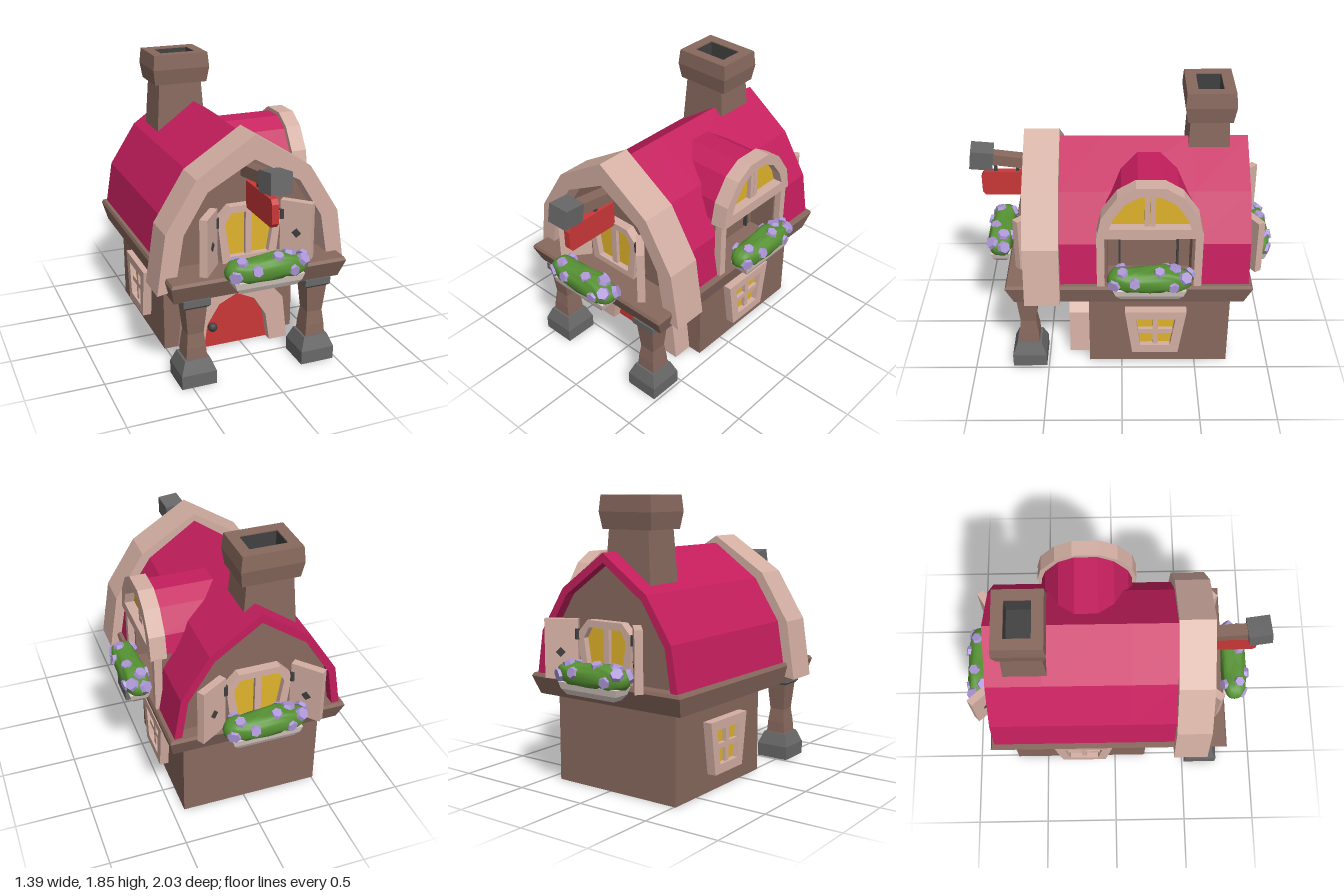
import * as THREE from 'three';

const mat = (name, color) => {
  const m = new THREE.MeshStandardMaterial({ color });
  m.name = name;
  return m;
};

export function createModel() {
  const wood = mat('brown wood', 0x88695e), trim = mat('pale trim', 0xd4afa3), roofPink = mat('roof pink', 0xc41e5d);
  const red = mat('red paint', 0xcb3737), glass = mat('yellow glass', 0xe0b42c), stone = mat('grey stone', 0x686868);
  const leaf = mat('leaf green', 0x579334), petal = mat('petal purple', 0xae98d8);
  const pot = mat('planter cream', 0xdfcfc9), dark = mat('dark iron', 0x414141);

  const model = new THREE.Group();
  model.name = 'cottage';
  const house = new THREE.Group();
  house.name = 'house';
  house.position.x = -0.045;
  model.add(house);

  // Helpers
  const add = (parent, name, geo, material, x = 0, y = 0, z = 0) => {
    const m = new THREE.Mesh(geo, material);
    m.name = name;
    m.position.set(x, y, z);
    parent.add(m);
    return m;
  };
  const group = (parent, name, x = 0, y = 0, z = 0, ry = 0) => {
    const g = new THREE.Group();
    g.name = name;
    g.position.set(x, y, z);
    g.rotation.y = ry;
    parent.add(g);
    return g;
  };
  const box = (w, h, d) => new THREE.BoxGeometry(w, h, d);
  // half outline (right side, bottom to top) to a closed symmetric outline
  const mirror = (half) => [...half, ...half.filter((p) => p[0] > 0).reverse().map(([x, y]) => [-x, y])];
  const band = (outer, inner) => [...mirror(outer), ...mirror(inner).reverse()];
  const prism = (pts, z0, z1, hole) => {
    const v = (a) => a.map(([x, y]) => new THREE.Vector2(x, y));
    const s = new THREE.Shape(v(pts));
    if (hole) s.holes.push(new THREE.Path(v(hole)));
    return new THREE.ExtrudeGeometry(s, { depth: z1 - z0, bevelEnabled: false }).translate(0, 0, z0);
  };
  // rectangular rings [y, width, depth] joined in order; descending rings face inward
  const tower = (rings) => {
    const pos = [], c = ([y, w, d]) => [[-w, y, d], [w, y, d], [w, y, -d], [-w, y, -d]].map((p) => [p[0] / 2, p[1], p[2] / 2]);
    const quad = (a, b, e, f) => pos.push(...a, ...b, ...e, ...a, ...e, ...f);
    for (let i = 0; i + 1 < rings.length; i++) {
      const a = c(rings[i]), b = c(rings[i + 1]);
      for (let k = 0; k < 4; k++) quad(a[k], a[(k + 1) % 4], b[(k + 1) % 4], b[k]);
    }
    const lo = c(rings[0]), hi = c(rings[rings.length - 1]);
    quad(lo[3], lo[2], lo[1], lo[0]);
    quad(hi[0], hi[1], hi[2], hi[3]);
    const g = new THREE.BufferGeometry();
    g.setAttribute('position', new THREE.Float32BufferAttribute(pos, 3));
    g.computeVertexNormals();
    return g;
  };

  // Lower storey, hollow from below, and the flared ledge
  add(house, 'lowerWalls', tower([[0.57, 0.89, 0.9], [0, 0.89, 0.9], [0, 0.93, 0.94], [0.6, 0.93, 0.94]]), wood, 0, 0, -0.25);
  add(house, 'ledge', tower([[0.58, 1.11, 1.5], [0.7, 1.17, 1.6], [0.72, 1.15, 1.58]]), wood, 0, 0, -0.045);

  // Door with arched surround
  const doorHalf = [[0.24, 0], [0.21, 0.2], [0.125, 0.335], [0, 0.395]];
  add(house, 'doorSurround', prism(band([[0.37, 0], [0.335, 0.31], [0.19, 0.475], [0, 0.555]], doorHalf), 0.21, 0.36), trim);
  add(house, 'door', prism(mirror(doorHalf), 0.21, 0.3), red);
  add(house, 'doorKnob', new THREE.SphereGeometry(0.032, 12, 8), dark, -0.16, 0.155, 0.325);

  // Porch posts
  for (const s of [-1, 1]) {
    const post = group(house, 'porchPost', s * 0.41, 0, 0.63);
    add(post, 'postBase', tower([[0.05, 0.13, 0.13], [0, 0.15, 0.15], [0, 0.23, 0.23], [0.09, 0.23, 0.23], [0.175, 0.165, 0.165]]), stone);
    add(post, 'postFoot', box(0.13, 0.01, 0.13), wood, 0, 0.047, 0);
    add(post, 'postShaft', tower([[0.16, 0.14, 0.14], [0.25, 0.125, 0.13], [0.34, 0.105, 0.105], [0.42, 0.12, 0.12], [0.53, 0.14, 0.14]]), wood);
    add(post, 'postCap', tower([[0.525, 0.15, 0.15], [0.54, 0.175, 0.175], [0.585, 0.175, 0.175]]), stone);
  }

  // Lower side windows
  for (const s of [-1, 1]) {
    const win = group(house, 'sideWindow', s * 0.465, 0, -0.225, s * Math.PI / 2);
    const inner = mirror([[0.1, 0.18], [0.133, 0.405]]);
    add(win, 'windowFrame', prism(mirror([[0.155, 0.12], [0.205, 0.465]]), -0.01, 0.06, inner), trim);
    add(win, 'windowGlass', prism(inner, -0.01, 0.02), glass);
    add(win, 'uprightBar', box(0.035, 0.23, 0.03), trim, 0, 0.292, 0.03);
    add(win, 'crossBar', box(0.23, 0.035, 0.03), trim, 0, 0.292, 0.03);
  }

  // Roof shell, with the right side left open under the dormer
  const roofOut = [[0.555, 0.7], [0.505, 1.0], [0.325, 1.28], [0, 1.51]];
  const roofIn = [[0.505, 0.7], [0.46, 0.98], [0.295, 1.24], [0, 1.45]];
  add(house, 'roofFront', prism(band(roofOut, roofIn), 0.11, 0.41), roofPink);
  add(house, 'roofBack', prism(band(roofOut, roofIn), -0.82, -0.46), roofPink);
  const cut = (half, x) => [[x, 1.1], ...mirror(half).slice(2)];
  add(house, 'roofMiddle', prism([...cut(roofOut, 0.441), ...cut(roofIn, 0.383).reverse()], -0.46, 0.11), roofPink);
  const gable = mirror([[0.52, 0.7], [0.475, 0.98], [0.305, 1.25], [0, 1.46]]);
  add(house, 'frontGableWall', prism(gable, 0.44, 0.5), wood);
  add(house, 'backGableWall', prism(gable, -0.75, -0.69), wood);

  // Big front arch
  add(house, 'frontArch', prism(band(
    [[0.635, 0.61], [0.575, 1.0], [0.375, 1.32], [0, 1.56]],
    [[0.52, 0.63], [0.46, 0.98], [0.305, 1.235], [0, 1.405]]), 0.4, 0.63), trim);

  // Flower box: trough, leafy mound, blossoms
  const flowerBox = (parent, x, y, z) => {
    const g = group(parent, 'flowerBox', x, y, z);
    add(g, 'trough', tower([[0, 0.37, 0.07], [0.035, 0.43, 0.11], [0.08, 0.46, 0.13]]), pot);
    const bush = new THREE.SphereGeometry(1, 24, 14);
    const p = bush.attributes.position;
    const surf = (a, b, c) => {
      const pw = (v, e) => Math.sign(v) * Math.abs(v) ** e;
      const k = 1 + 0.1 * Math.sin(a * 9 + b * 4) * Math.cos(c * 5 + a * 6);
      return [0.27 * pw(a, 0.65), 0.13 + 0.074 * pw(b, 0.7) * k + 0.008 * Math.sin(a * 7), 0.084 * pw(c, 0.7) * k];
    };
    for (let i = 0; i < p.count; i++) p.setXYZ(i, ...surf(p.getX(i), p.getY(i), p.getZ(i)));
    bush.computeVertexNormals();
    add(g, 'leaves', bush, leaf);
    const spots = [[-0.75, -0.1, 0.65], [-0.2, 0.25, 0.94], [0.4, -0.1, 0.91], [0.75, 0.5, 0.43], [-0.5, 0.84, 0.2],
      [0.1, 0.95, 0.3], [0.45, 0.87, -0.2], [-0.55, 0.3, -0.78], [0.25, 0.2, -0.94], [0.93, 0.2, -0.3]];
    spots.forEach(([a, b, c], i) => {
      const f = add(g, 'blossom', new THREE.CylinderGeometry(0.036, 0.042, 0.026, 6).toNonIndexed(), petal, ...surf(a, b, c));
      f.geometry.computeVertexNormals();
      f.quaternion.setFromUnitVectors(new THREE.Vector3(0, 1, 0), new THREE.Vector3(a * 0.4, b, c).normalize());
      f.scale.setScalar(i % 3 ? 0.92 : 1.08);
    });
  };

  // Gable windows with open shutters, front and back
  const gableWindow = (z, ry, reach, angles) => {
    const g = group(house, 'gableWindow', 0, 0, z, ry);
    const pane = mirror([[0.13, 0.76], [0.165, 0.98], [0.125, 1.05]]);
    add(g, 'windowFrame', prism(mirror([[0.18, 0.71], [0.215, 1.01], [0.135, 1.095]]), -0.01, 0.06, pane), trim);
    add(g, 'windowGlass', prism(pane, -0.01, 0.02), glass);
    add(g, 'uprightBar', box(0.042, 0.3, 0.03), trim, 0, 0.905, 0.03);
    [-1, 1].forEach((s, i) => {
      add(g, 'hinge', new THREE.CylinderGeometry(0.018, 0.018, 0.065, 8), dark, s * 0.22, 1.0, 0.055);
      const sh = group(g, 'shutter', s * 0.23, 0.905, 0.035, -s * angles[i]);
      add(sh, 'shutterBoard', box(0.21, 0.375, 0.05), trim, s * 0.105, 0, 0);
      add(sh, 'shutterDiamond', box(0.045, 0.045, 0.058), dark, s * 0.11, -0.02, 0).rotation.z = Math.PI / 4;
    });
    flowerBox(g, 0, 0.65, reach);
  };
  gableWindow(0.5, 0, 0.32, [0.9, 0.8]);
  gableWindow(-0.75, Math.PI, 0.165, [0.55, 0.85]);

  // Dormer on the left slope, built facing its own +z
  const dormer = group(house, 'dormer', 0, 0, -0.175, Math.PI / 2);
  add(dormer, 'dormerRoof', prism(mirror([[0.305, 1.11], [0.275, 1.23], [0.18, 1.375], [0.075, 1.44]]), 0.05, 0.5), roofPink);
  const dormerPane = mirror([[0.255, 1.17], [0.225, 1.255], [0.15, 1.355], [0.065, 1.4]]);
  add(dormer, 'dormerArch', prism(mirror([[0.335, 1.1], [0.305, 1.25], [0.205, 1.395], [0.09, 1.465]]), 0.49, 0.595, dormerPane), trim);
  add(dormer, 'dormerGlass', prism(dormerPane, 0.49, 0.53), glass);
  for (const s of [-1, 1]) {
    add(dormer, 'dormerBar', box(0.032, 0.23, 0.03), trim, s * 0.018, 1.285, 0.545);
    add(dormer, 'dormerPost', box(0.05, 0.4, 0.05), trim, s * 0.31, 0.91, 0.55);
    add(dormer, 'recessSide', box(0.025, 0.42, 0.2), wood, s * 0.282, 0.91, 0.43);
    add(dormer, 'openingFrameSide', box(0.015, 0.34, 0.03), dark, s * 0.19, 0.91, 0.36);
  }
  add(dormer, 'recessBack', box(0.57, 0.42, 0.03), wood, 0, 0.91, 0.335);
  add(dormer, 'recessCeiling', box(0.57, 0.02, 0.2), wood, 0, 1.1, 0.42);
  add(dormer, 'openingFrameTop', box(0.395, 0.012, 0.03), dark, 0, 1.078, 0.36);
  add(dormer, 'openingPanel', box(0.365, 0.14, 0.008), trim, 0, 1.0, 0.353);
  flowerBox(dormer, 0, 0.7, 0.645);

  // Chimney with a hollow cap
  const chimney = group(house, 'chimney', -0.095, 0, -0.565);
  add(chimney, 'chimneyShaft', tower([[1.3, 0.35, 0.28], [1.66, 0.3, 0.25]]), wood);
  add(chimney, 'chimneyCap', tower([[1.645, 0.37, 0.29], [1.75, 0.4, 0.325], [1.85, 0.38, 0.31], [1.85, 0.24, 0.165], [1.7, 0.24, 0.165]]), wood);
  add(chimney, 'flue', tower([[1.845, 0.234, 0.159], [1.71, 0.234, 0.159]]), dark);

  // Hanging sign on a beam
  const sign = group(house, 'hangingSign');
  add(sign, 'signBeam', box(0.08, 0.075, 0.48), wood, 0, 1.325, 0.65).rotation.x = -0.13;
  const block = add(sign, 'beamEnd', box(0.14, 0.13, 0.15), stone, 0, 1.36, 0.92);
  block.rotation.set(-0.13, 0.08, -0.05);
  for (const z of [0.69, 0.835]) add(sign, 'signHook', box(0.02, 0.07, 0.02), dark, 0, 1.27, z);
  const board = [[-0.93, 1.1], [-0.91, 1.075], [-0.55, 1.075], [-0.55, 1.25], [-0.91, 1.25], [-0.93, 1.22]];
  add(sign, 'signBoard', prism(board, -0.022, 0.022), red).rotation.y = Math.PI / 2;

  return model;
}
